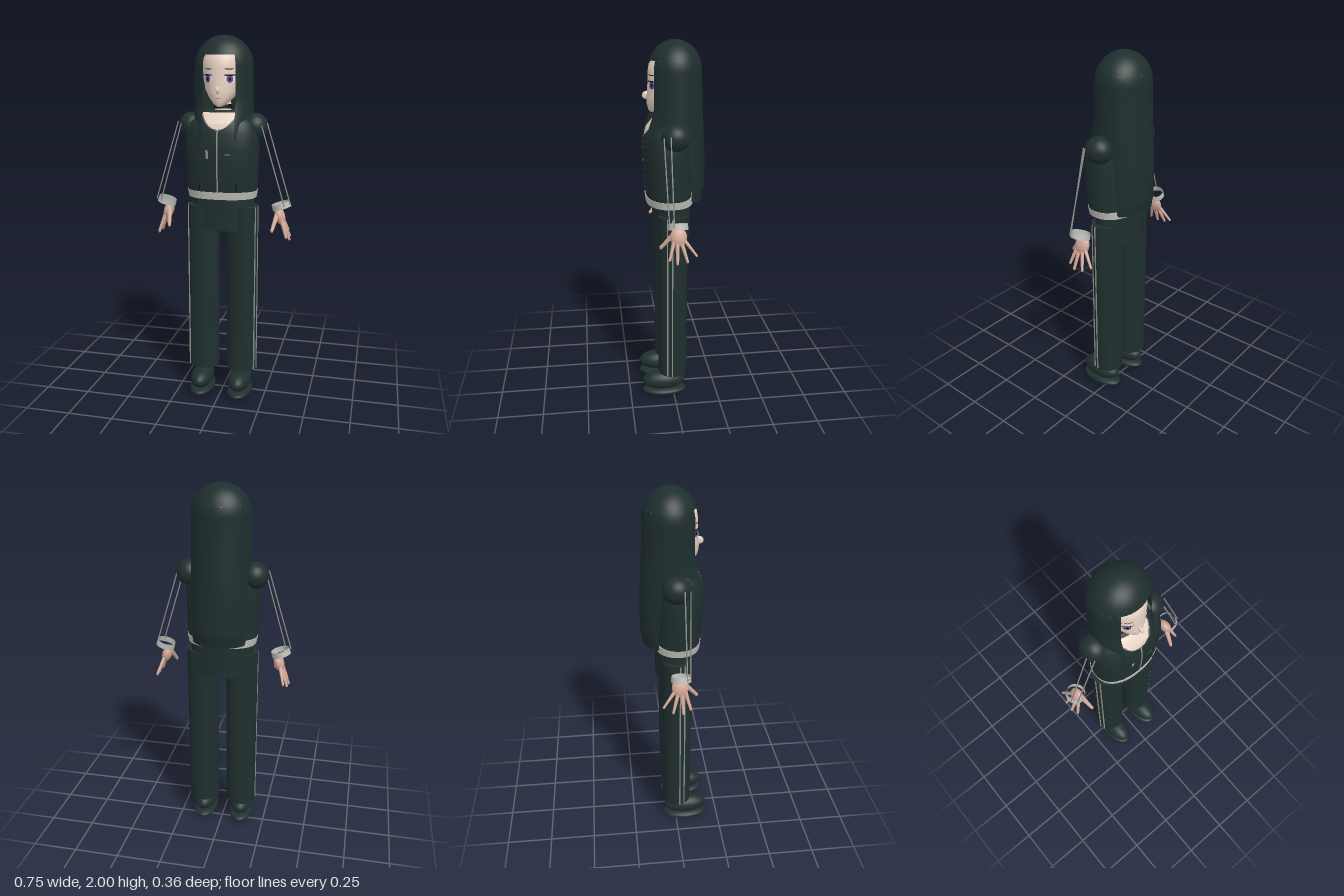
import * as THREE from 'three';
import { ParametricGeometry } from 'three/addons/geometries/ParametricGeometry.js';

const mat = (name, color, side = THREE.FrontSide) => {
  const m = new THREE.MeshStandardMaterial({ color, side });
  m.name = name;
  return m;
};
const lerp = THREE.MathUtils.lerp;
const smooth = THREE.MathUtils.smoothstep;

// Linear interpolation of ring rows [y, rx, cz, rz]
function ringAt(rings, y) {
  let i = 0;
  while (i < rings.length - 2 && y > rings[i + 1][0]) i++;
  const a = rings[i], b = rings[i + 1];
  const t = THREE.MathUtils.clamp((y - a[0]) / (b[0] - a[0]), 0, 1);
  return a.map((v, k) => lerp(v, b[k], t));
}

// Closed body through superelliptic rings, listed from bottom to top
function loft(rings, n = 2, seg = 48) {
  const pos = [], idx = [];
  const row = ([y, rx, cz, rz]) => {
    const start = pos.length / 3;
    for (let j = 0; j < seg; j++) {
      const a = (j / seg) * Math.PI * 2, s = Math.sin(a), c = Math.cos(a);
      pos.push(rx * Math.sign(s) * Math.abs(s) ** (2 / n), y, cz + rz * Math.sign(c) * Math.abs(c) ** (2 / n));
    }
    return start;
  };
  const starts = rings.map(row);
  for (let i = 0; i < rings.length - 1; i++)
    for (let j = 0; j < seg; j++) {
      const k = (j + 1) % seg, p = starts[i], q = starts[i + 1];
      idx.push(p + j, p + k, q + k, p + j, q + k, q + j);
    }
  [rings[0], rings[rings.length - 1]].forEach((r, top) => {
    const p = row(r), c = pos.length / 3;
    pos.push(0, r[0], r[2]);
    for (let j = 0; j < seg; j++) {
      const k = (j + 1) % seg;
      idx.push(...(top ? [p + j, p + k, c] : [p + k, p + j, c]));
    }
  });
  const g = new THREE.BufferGeometry();
  g.setAttribute('position', new THREE.Float32BufferAttribute(pos, 3));
  g.setIndex(idx);
  g.computeVertexNormals();
  return g;
}

// Thin patch lying on the front of a lofted body, between x0(y) and x1(y)
function decal(rings, n, y0, y1, x0, x1, off = 0.004) {
  const g = new THREE.PlaneGeometry(1, 1, 10, 14), p = g.attributes.position;
  for (let i = 0; i < p.count; i++) {
    const y = lerp(y0, y1, p.getY(i) + 0.5), x = lerp(x0(y), x1(y), p.getX(i) + 0.5);
    const [, rx, cz, rz] = ringAt(rings, y);
    p.setXYZ(i, x, y, cz + rz * Math.max(0, 1 - Math.abs(x / rx) ** n) ** (1 / n) + off);
  }
  g.computeVertexNormals();
  return g;
}

export function createModel() {
  const root = new THREE.Group();
  const dark = mat('dark cloth', 0x202f2f);
  const hairMat = mat('dark hair', 0x1f2e2e, THREE.DoubleSide);
  const skin = mat('face skin', 0xecd8c8);
  const handSkin = mat('hand skin', 0xd3a898);
  const pale = mat('pale band', 0xbcbcb7, THREE.DoubleSide);
  const grey = mat('grey trim', 0x8f8f8a);
  const purple = mat('purple iris', 0x6b4a9c);
  const black = mat('black', 0x101414);
  const white = mat('eye white', 0xf2eeee);
  const lip = mat('lip', 0xc79a8e);

  const add = (name, geo, m, x = 0, y = 0, z = 0) => {
    const o = new THREE.Mesh(geo, m);
    o.name = name;
    o.position.set(x, y, z);
    root.add(o);
    return o;
  };
  const ball = (name, m, x, y, z, rx, ry, rz) => {
    const o = add(name, new THREE.SphereGeometry(1, 32, 20), m, x, y, z);
    o.scale.set(rx, ry, rz);
    return o;
  };
  // Tapered rod between two points
  const rod = (name, m, a, b, r0, r1, sides = 10) => {
    const A = new THREE.Vector3(...a), B = new THREE.Vector3(...b), d = B.clone().sub(A);
    const o = add(name, new THREE.CylinderGeometry(r1, r0, d.length(), sides), m);
    o.position.copy(A).add(B).multiplyScalar(0.5);
    o.quaternion.setFromUnitVectors(new THREE.Vector3(0, 1, 0), d.normalize());
  };

  // Jacket
  const torso = [[1.18, 0.19, 0.015, 0.122], [1.3, 0.195, 0.022, 0.125], [1.42, 0.2, 0.025, 0.127],
    [1.5, 0.196, 0.022, 0.122], [1.55, 0.175, 0.02, 0.108], [1.59, 0.135, 0.012, 0.085], [1.615, 0.1, 0.005, 0.062]];
  const tn = 2.3;
  add('jacket', loft(torso, tn), dark);
  add('waistband', loft([[1.15, 0.186, 0.012, 0.126], [1.19, 0.193, 0.014, 0.128]], tn), pale);

  // Neckline, zip, badges and pocket marks
  const neckHalf = y => 0.098 * Math.sqrt(Math.max(0, (y - 1.52) / 0.085));
  add('chest', decal(torso, tn, 1.52, 1.605, y => -neckHalf(y), neckHalf), skin);
  add('zip', decal(torso, tn, 1.19, 1.52, () => -0.004, () => 0.004), grey);
  add('leftBadge', decal(torso, tn, 1.39, 1.397, () => 0.042, () => 0.07), grey);
  add('rightBadge', decal(torso, tn, 1.37, 1.415, () => -0.062, () => -0.048), grey);
  for (const s of [-1, 1]) {
    const edge = y => s * neckHalf(y), outer = y => s * (neckHalf(y) + 0.006);
    add('necklineTrim', decal(torso, tn, 1.515, 1.6, s > 0 ? edge : outer, s > 0 ? outer : edge, 0.005), grey);
    add('pocketMark', decal(torso, tn, 1.195, 1.235, () => s * 0.1 - 0.003, () => s * 0.1 + 0.003), black);
  }

  // Neck and choker
  add('neck', new THREE.CylinderGeometry(0.04, 0.05, 0.12, 32), skin, 0, 1.62, 0.005);
  add('choker', new THREE.CylinderGeometry(0.048, 0.05, 0.022, 32), black, 0, 1.634, 0.008);

  // Head and face
  const head = [[1.636, 0.012, 0.095, 0.015], [1.65, 0.035, 0.07, 0.05], [1.68, 0.064, 0.035, 0.092],
    [1.72, 0.09, 0.01, 0.118], [1.78, 0.104, 0, 0.122], [1.84, 0.108, -0.003, 0.124],
    [1.88, 0.106, -0.008, 0.122], [1.92, 0.09, -0.02, 0.105]];
  add('head', loft(head, 2), skin);
  const nose = ball('nose', skin, 0, 1.722, 0.13, 0.009, 0.02, 0.022);
  nose.rotation.x = 0.35;
  add('mouth', decal(head, 2, 1.677, 1.682, () => -0.016, () => 0.016, 0.003), lip);
  for (const s of [-1, 1]) {
    const oval = (cx, cy, rx, ry, off) => {
      const w = y => rx * Math.sqrt(Math.max(0, 1 - ((y - cy) / ry) ** 2));
      return decal(head, 2, cy - ry, cy + ry, y => s * cx - w(y), y => s * cx + w(y), off);
    };
    add('eyeWhite', oval(0.057, 1.776, 0.024, 0.02, 0.003), white);
    add('iris', oval(0.058, 1.777, 0.015, 0.019, 0.005), purple);
    add('pupil', oval(0.058, 1.777, 0.006, 0.009, 0.006), black);
    add('upperLash', oval(0.058, 1.797, 0.027, 0.004, 0.007), black);
    add('eyebrow', oval(0.055, 1.828, 0.022, 0.0025, 0.004), black);
  }

  // Hair: closed crown above the face, then one curtain with long back and pointed front locks
  const crown = [];
  for (let i = 0; i <= 12; i++) {
    const a = lerp(Math.asin(0.055 / 0.155), Math.PI / 2 - 0.01, i / 12), c = Math.cos(a);
    crown.push([1.845 + 0.155 * Math.sin(a), 0.155 * c, -0.02, 0.14 * c]);
  }
  add('hairCrown', loft(crown), hairMat);
  add('hairCurtain', new ParametricGeometry((u, v, p) => {
    const a = lerp(0.58, Math.PI * 2 - 0.58, u), d = Math.min(a, Math.PI * 2 - a);
    let end = lerp(1.46, 1.58, smooth(d, 0.75, 1.1));
    end = lerp(end, 1.17, smooth(d, 1.85, 2.1));
    const y = lerp(1.9, end, v);
    const round = y > 1.845 ? Math.sqrt(1 - ((y - 1.845) / 0.155) ** 2) : 1;
    const fall = smooth(1.84 - y, 0, 0.5);
    const front = 0.14 + 0.055 * smooth(1.68 - y, 0, 0.2);
    const back = 0.14 + 0.02 * fall - 0.012 * smooth(1.24 - y, 0, 0.07);
    const c = Math.cos(a);
    p.set((0.155 + 0.008 * fall) * round * Math.sin(a), y, -0.02 + (c > 0 ? front : back) * round * c);
  }, 96, 40), hairMat);

  // Trousers
  add('hips', loft([[0.97, 0.172, 0, 0.102], [1.155, 0.172, 0, 0.102]]), dark);
  for (const s of [-1, 1]) {
    const leg = add('trouserLeg', new THREE.CylinderGeometry(0.087, 0.085, 0.955, 40), dark, s * 0.11, 0.6225, 0.005);
    leg.scale.z = 0.94;
    add('legStripe', new THREE.BoxGeometry(0.008, 0.95, 0.007), grey, s * 0.186, 0.624, 0.042);
    add('legStripe', new THREE.BoxGeometry(0.008, 0.95, 0.007), grey, s * 0.195, 0.624, 0.016);

    // Shoes
    ball('shoe', dark, s * 0.11, 0.09, 0.057, 0.063, 0.058, 0.123);
    ball('sole', dark, s * 0.11, 0.026, 0.053, 0.069, 0.026, 0.127);

    // Shoulders, sleeve piping and cuffs
    ball('shoulder', dark, s * 0.174, 1.53, -0.003, 0.071, 0.071, 0.075);
    rod('sleevePiping', grey, [s * 0.243, 1.55, 0.03], [s * 0.374, 1.12, 0.03], 0.0035, 0.0035, 8);
    rod('sleevePiping', grey, [s * 0.218, 1.54, 0.062], [s * 0.345, 1.11, 0.05], 0.0035, 0.0035, 8);
    const cuff = add('cuff', new THREE.CylinderGeometry(0.05, 0.052, 0.032, 32, 1, true), pale, s * 0.322, 1.108, 0.004);
    cuff.rotation.z = s * 0.31;

    // Hands
    const palm = ball('palm', handSkin, s * 0.315, 1.05, 0, 0.027, 0.05, 0.043);
    palm.rotation.z = s * 0.3;
    const fingers = [
      [[0.303, 1.06, 0.025], [0.286, 0.985, 0.088], 0.014],
      [[0.328, 1.03, 0.026], [0.357, 0.942, 0.05], 0.011],
      [[0.33, 1.025, 0.008], [0.37, 0.925, 0.012], 0.0115],
      [[0.33, 1.025, -0.012], [0.366, 0.932, -0.04], 0.011],
      [[0.325, 1.035, -0.028], [0.351, 0.957, -0.088], 0.01],
    ];
    for (const [a, b, r] of fingers) {
      rod('finger', handSkin, [s * a[0], a[1], a[2]], [s * b[0], b[1], b[2]], r, r * 0.62, 12);
      ball('fingertip', handSkin, s * b[0], b[1], b[2], r * 0.62, r * 0.8, r * 0.62);
    }
  }
  return root;
}
